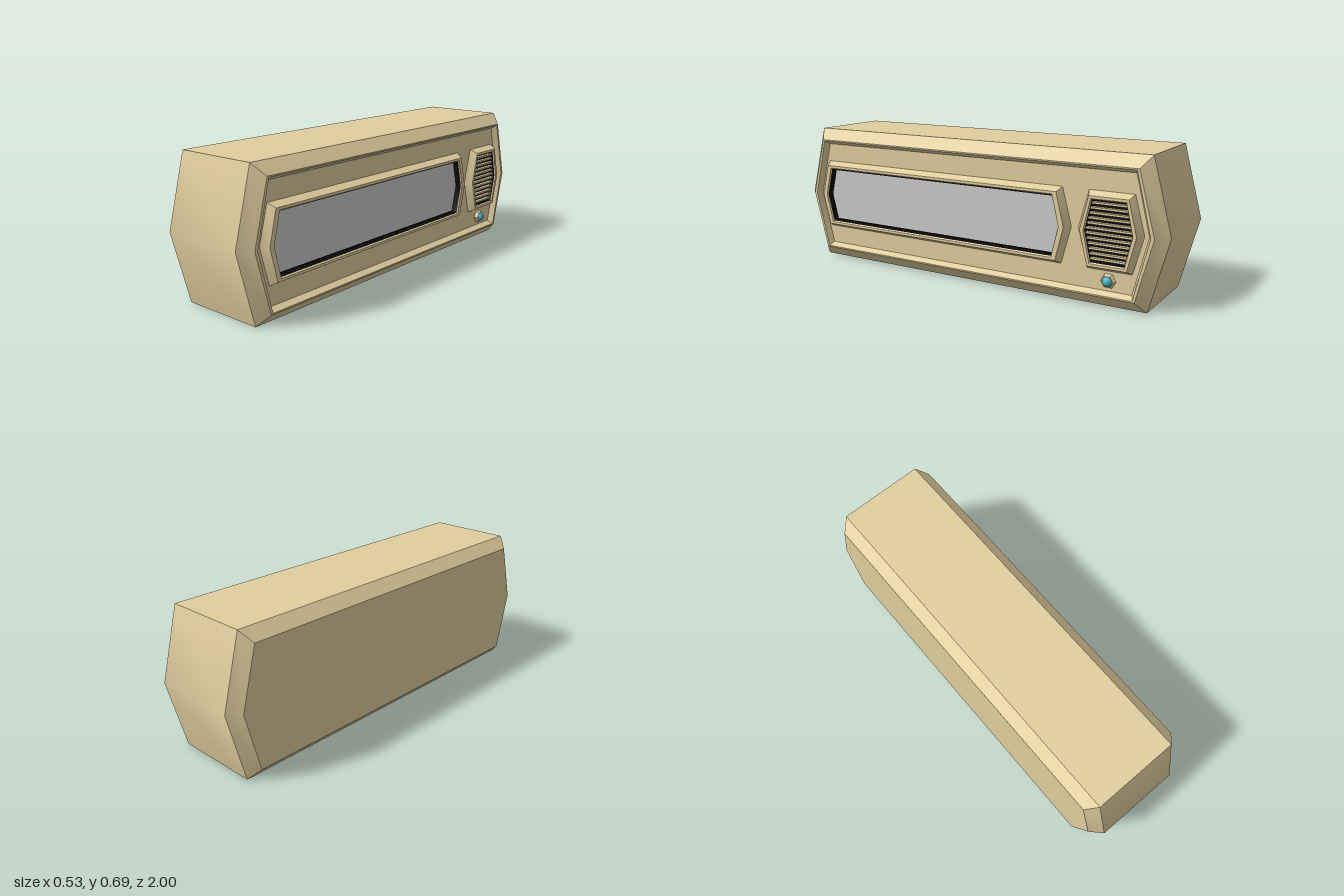
import * as THREE from 'three';
import { toCreasedNormals } from 'three/addons/utils/BufferGeometryUtils.js';

const MID_Y = 0.3425;
const PANEL_X = 0.23;   // floor of the recessed fascia
const FACE_X = 0.267;   // front of the raised frames

const mat = (color) => new THREE.MeshStandardMaterial({ color });

// Stretched hexagon facing +x: tip half-length, corner half-length, half-height
function hexRing(zc, [x, tip, corner, h]) {
  return [[-tip, 0], [-corner, h], [corner, h], [tip, 0], [corner, -h], [-corner, -h]]
    .map(([z, y]) => [x, MID_Y + y, zc + z]);
}

// Skin a series of hexagon rings, with optional end caps
function hexLoft(zc, sections, capStart, capEnd) {
  const rings = sections.map((s) => hexRing(zc, s));
  const pos = [];
  const tri = (a, b, c) => pos.push(...a, ...b, ...c);
  for (let i = 0; i < rings.length - 1; i++) {
    for (let j = 0; j < 6; j++) {
      const k = (j + 1) % 6;
      tri(rings[i][j], rings[i][k], rings[i + 1][k]);
      tri(rings[i][j], rings[i + 1][k], rings[i + 1][j]);
    }
  }
  const first = rings[0], last = rings[rings.length - 1];
  for (let j = 1; j < 5; j++) {
    if (capStart) tri(first[0], first[j + 1], first[j]);
    if (capEnd) tri(last[0], last[j], last[j + 1]);
  }
  const geo = new THREE.BufferGeometry();
  geo.setAttribute('position', new THREE.Float32BufferAttribute(pos, 3));
  geo.computeVertexNormals();
  return toCreasedNormals(geo, 0.6);
}

export function createModel() {
  const root = new THREE.Group();
  const tan = mat(0xe2cfa0), black = mat(0x080808), grey = mat(0xcccccc), teal = mat(0x45b5c8);

  const add = (parent, name, geo, material) => {
    const mesh = new THREE.Mesh(geo, material);
    mesh.name = name;
    parent.add(mesh);
    return mesh;
  };

  // Bevelled casing with a shallow recess in its +x face
  add(root, 'casing', hexLoft(0, [
    [-0.267, 0.946, 0.87, 0.289],
    [-0.215, 1, 0.91, MID_Y],
    [0.205, 1, 0.91, MID_Y],
    [0.258, 0.946, 0.87, 0.289],
    [0.258, 0.93, 0.86, 0.283],
    [PANEL_X, 0.915, 0.848, 0.266],
  ], true, true), tan);

  // Raised hexagonal frame with a dark well inside
  function frame(name, zc, tip, corner, openTip, openCorner) {
    const group = new THREE.Group();
    group.name = name;
    root.add(group);
    add(group, name + 'Rim', hexLoft(zc, [
      [PANEL_X, tip, corner, 0.175],
      [FACE_X, tip - 0.022, corner - 0.014, 0.156],
      [FACE_X, openTip + 0.004, openCorner + 0.003, 0.144],
      [FACE_X - 0.006, openTip, openCorner, 0.139],
    ]), tan);
    add(group, name + 'Well', hexLoft(zc, [
      [FACE_X - 0.006, openTip, openCorner, 0.139],
      [0.234, openTip - 0.004, openCorner - 0.003, 0.134],
    ], false, true), black);
    return group;
  }

  // Screen
  const screen = frame('screen', 0.17, 0.727, 0.68, 0.677, 0.643);
  add(screen, 'glass', hexLoft(0.17, [[0.236, 0.667, 0.635, 0.129]], false, true), grey);

  // Speaker with horizontal slats trimmed to the hexagonal opening
  const zs = -0.742, count = 12;
  const speaker = frame('speaker', zs, 0.152, 0.105, 0.11, 0.078);
  for (let i = 0; i < count; i++) {
    const y = ((i + 0.5) / count - 0.5) * 0.27;
    const half = 0.109 - (0.032 * Math.abs(y)) / 0.139;
    const slat = add(speaker, 'slat', new THREE.BoxGeometry(0.018, 0.009, half * 2), tan);
    slat.position.set(0.246, MID_Y + y, zs);
  }

  // Indicator button in a hexagonal bezel
  const button = new THREE.Group();
  button.name = 'button';
  button.position.set(PANEL_X, 0.123, -0.739);
  root.add(button);
  const bezel = add(button, 'buttonBezel',
    toCreasedNormals(new THREE.CylinderGeometry(0.028, 0.036, 0.018, 6), 0.5), tan);
  bezel.rotation.z = -Math.PI / 2;
  bezel.position.x = 0.009;
  const lamp = add(button, 'buttonLamp', new THREE.SphereGeometry(0.024, 24, 16), teal);
  lamp.position.x = 0.011;

  return root;
}
